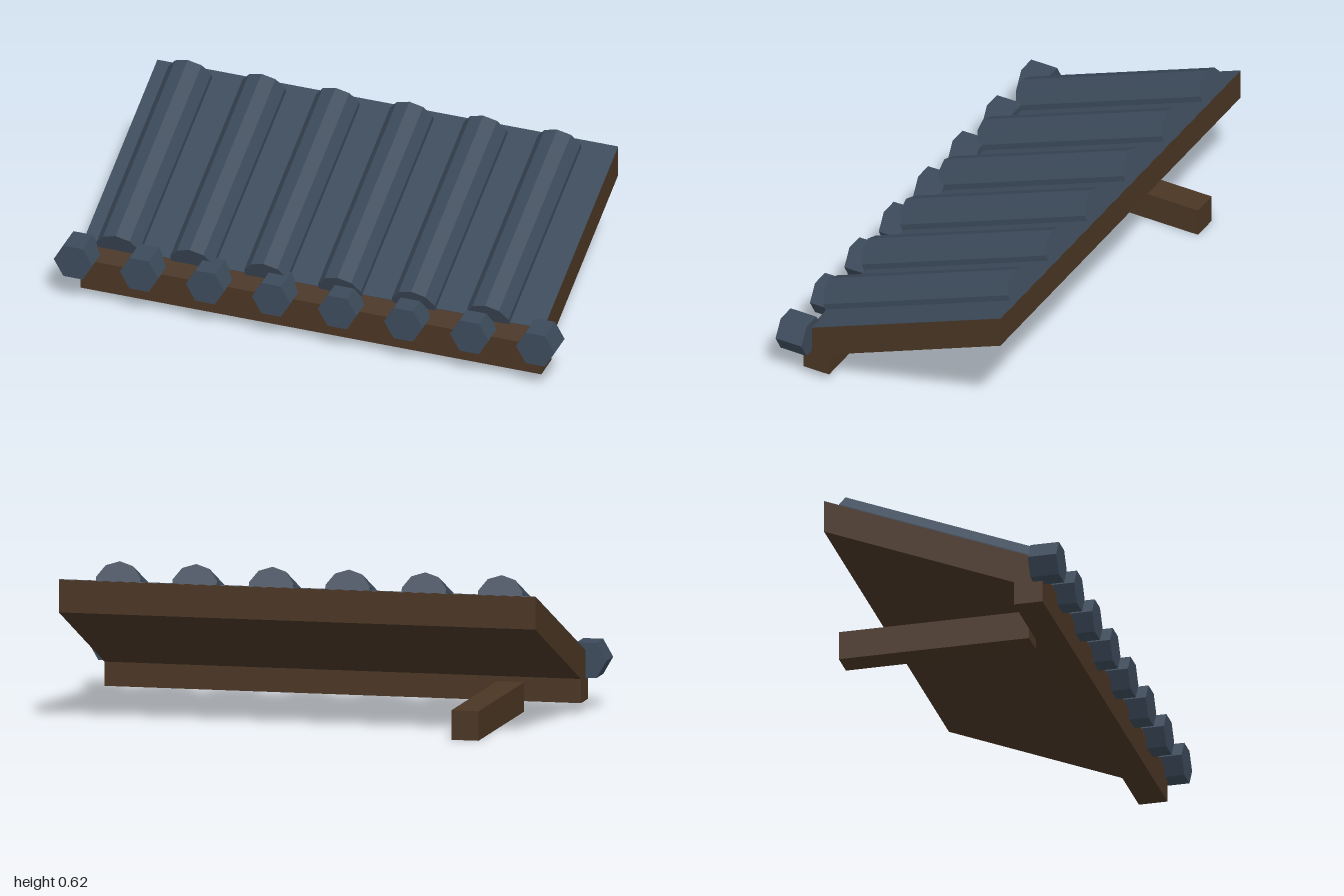
import * as THREE from 'three';

export function createModel() {
  const model = new THREE.Group();
  model.name = 'ribbedRoof';
  const slate = new THREE.MeshStandardMaterial({ color: 0x3c4a5a });
  slate.name = 'slate blue';
  const wood = new THREE.MeshStandardMaterial({ color: 0x4a3624 });
  wood.name = 'dark wood';

  const add = (parent, name, geometry, material, x = 0, y = 0, z = 0) => {
    const mesh = new THREE.Mesh(geometry, material);
    mesh.name = name;
    mesh.position.set(x, y, z);
    parent.add(mesh);
    return mesh;
  };
  const extrude = (points, depth) => new THREE.ExtrudeGeometry(
    new THREE.Shape(points.map(([x, y]) => new THREE.Vector2(x, y))),
    { depth, bevelEnabled: false });

  // Sloping wooden slab with a lip at the front: side profile as [z, y]
  const profile = [[0.388, 0.04], [0.388, 0.165], [0.362, 0.225], [-0.461, 0.555],
    [-0.461, 0.43], [0.277, 0.132], [0.277, 0.04]];
  const slab = extrude(profile.map(([z, y]) => [-z, y]), 1.84);
  slab.rotateY(Math.PI / 2);
  add(model, 'roofSlab', slab, wood, -0.92);

  // Everything lying on the slope: local y is its normal, local z runs down it
  const slope = new THREE.Group();
  slope.name = 'roofCovering';
  slope.position.set(0, 0.39, -0.0495);
  slope.rotation.x = Math.atan2(0.33, 0.823);
  model.add(slope);
  add(slope, 'roofSheet', new THREE.BoxGeometry(1.84, 0.003, 0.886), slate);

  // Raised ribs: upper half of a ten-sided section
  const R = 0.09;
  const section = [[R * 0.951, -0.003]];
  for (const deg of [18, 54, 90, 126, 162]) {
    const a = THREE.MathUtils.degToRad(deg);
    section.push([R * Math.cos(a), R * Math.sin(a) - 0.003]);
  }
  section.push([-R * 0.951, -0.003]);
  const rib = extrude(section, 0.857);
  for (let i = 0; i < 6; i++) {
    add(slope, 'rib', rib, slate, -0.775 + i * 0.295, 0, -0.407);
  }

  // Hexagonal studs along the front edge, corners pointing sideways
  const stud = new THREE.CylinderGeometry(0.077, 0.077, 0.111, 6).toNonIndexed();
  stud.rotateY(Math.PI / 2).rotateX(Math.PI / 2);
  stud.computeVertexNormals();
  for (let i = 0; i < 8; i++) {
    add(model, 'stud', stud, slate, -0.923 + i * 1.846 / 7, 0.192, 0.407);
  }

  // Single beam reaching back underneath
  add(model, 'supportBeam', new THREE.BoxGeometry(0.105, 0.112, 0.738), wood, -0.648, 0.056, -0.092);
  return model;
}
